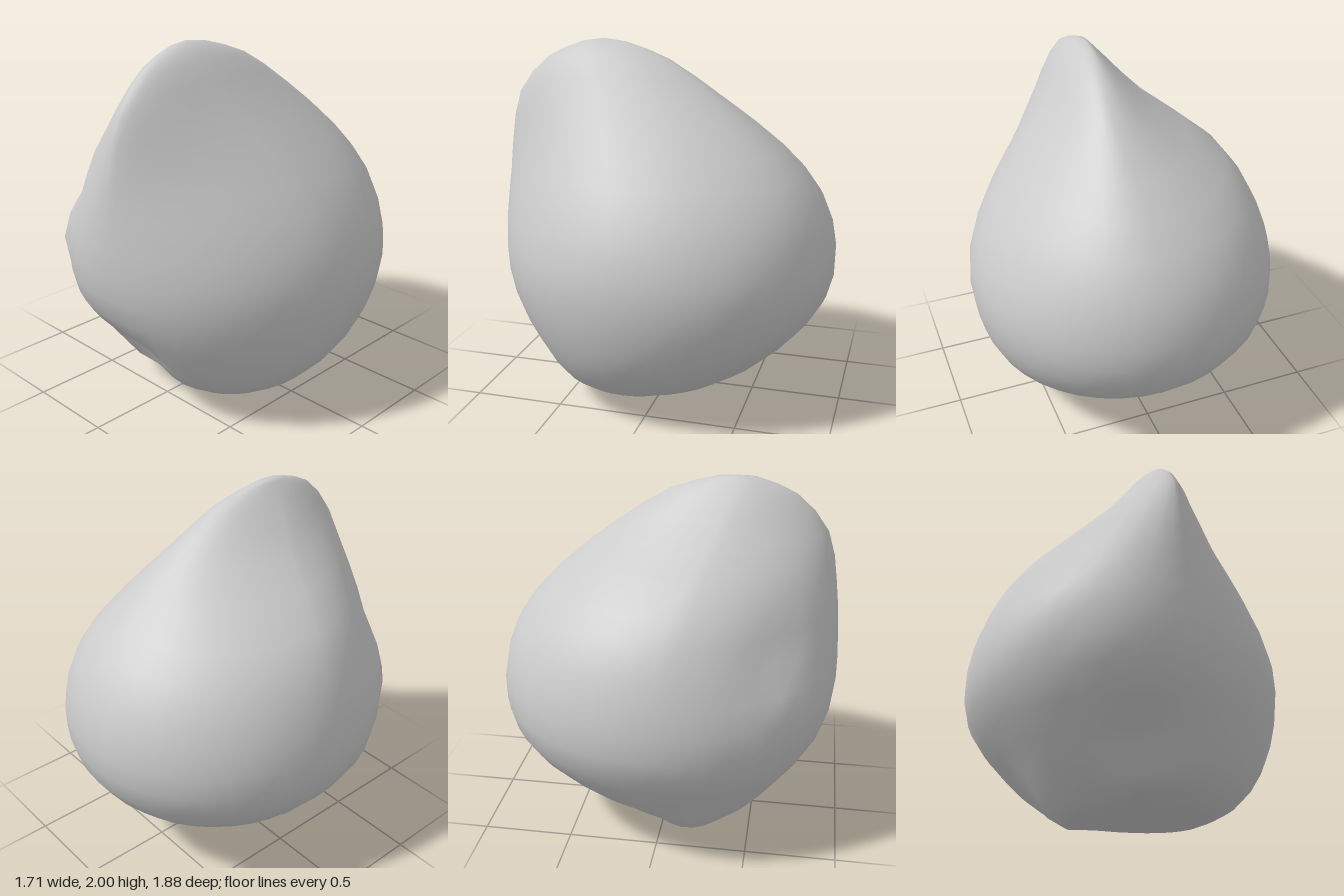
import * as THREE from 'three';

// Key horizontal sections, bottom to top:
// y, min x, max x, min z, max z, centre x, centre z, front exponent (2 = round, lower = pointed)
const SECTIONS = [
  [0.055, -0.27, 0.39, -0.06, 0.42, 0.05, 0.16, 2.2],
  [0.17, -0.47, 0.6, -0.44, 0.61, 0.03, 0.1, 2.1],
  [0.36, -0.65, 0.755, -0.71, 0.76, 0, 0.04, 2],
  [0.61, -0.83, 0.835, -0.9, 0.89, 0, 0, 2],
  [0.88, -0.855, 0.84, -0.94, 0.94, 0, 0, 1.95],
  [1.17, -0.775, 0.73, -0.86, 0.93, 0.03, 0.02, 1.78],
  [1.43, -0.61, 0.545, -0.65, 0.905, 0.07, 0.1, 1.58],
  [1.7, -0.255, 0.33, -0.32, 0.845, 0.09, 0.24, 1.52],
  [1.9, -0.06, 0.19, -0.02, 0.67, 0.08, 0.34, 1.7],
  [1.985, 0.02, 0.1, 0.23, 0.47, 0.055, 0.36, 2],
];
const COLS = 40;
const RINGS = 2 * (SECTIONS.length - 1);

// Local pushes: each moves the surface near a point by an offset that fades with distance
const PUSHES = [
  { at: [-0.06, 0.3, 0.7], radius: 0.22, by: [0, 0.03, -0.12] },       // hollow under the front
  { at: [0.03, 0.05, 0.36], radius: 0.16, by: [0, 0.08, -0.02] },      // groove on the underside
  { at: [-0.3, 0.07, 0.16], radius: 0.19, by: [-0.05, -0.055, 0] },    // point on the underside
  { at: [-0.5, 1.22, 0.62], radius: 0.2, by: [0.02, 0, -0.03] },       // dip above the front lip
  { at: [-0.53, 0.95, 0.73], radius: 0.13, by: [-0.02, 0.02, 0.03] },  // front lip
];

function push(x, y, z) {
  const start = new THREE.Vector3(x, y, z);
  const p = start.clone();
  for (const { at, radius, by } of PUSHES) {
    const d2 = start.distanceToSquared(new THREE.Vector3(...at));
    p.addScaledVector(new THREE.Vector3(...by), Math.exp(-d2 / (radius * radius)));
  }
  p.y = Math.max(0, p.y);
  return p.toArray();
}

function bodyGeometry() {
  const pos = [], index = [];
  // Smooth blend between the key sections
  const blend = new THREE.CubicInterpolant(SECTIONS.map((_, i) => i), SECTIONS.flat(), 8, []);
  for (let i = 0; i <= RINGS; i++) {
    const [y, x0, x1, z0, z1, cx, cz, frontExp] = blend.evaluate(i / 2);
    for (let j = 0; j < COLS; j++) {
      const a = (j / COLS) * Math.PI * 2;
      const c = Math.cos(a), s = Math.sin(a);
      const e = 2 / (s > 0 ? frontExp : 2);
      const u = Math.abs(c) ** e, v = Math.abs(s) ** e;
      pos.push(...push(cx + u * ((c > 0 ? x1 : x0) - cx), y, cz + v * ((s > 0 ? z1 : z0) - cz)));
    }
  }
  // Closing points of the underside and the peak
  const bottom = pos.length / 3, top = bottom + 1;
  pos.push(...push(0.04, 0.07, 0.16), 0.045, 2, 0.36);

  const last = RINGS * COLS;
  for (let j = 0; j < COLS; j++) {
    const k = (j + 1) % COLS;
    for (let r = 0; r < last; r += COLS) {
      index.push(r + j, r + COLS + j, r + k, r + k, r + COLS + j, r + COLS + k);
    }
    index.push(bottom, j, k, top, last + k, last + j);
  }
  const g = new THREE.BufferGeometry();
  g.setAttribute('position', new THREE.Float32BufferAttribute(pos, 3));
  g.setIndex(index);
  g.computeVertexNormals();
  return g;
}

export function createModel() {
  const group = new THREE.Group();
  group.name = 'ridgedBlob';
  const body = new THREE.Mesh(bodyGeometry(), new THREE.MeshStandardMaterial({ color: 0xcccccc }));
  body.name = 'body';
  group.add(body);
  return group;
}
